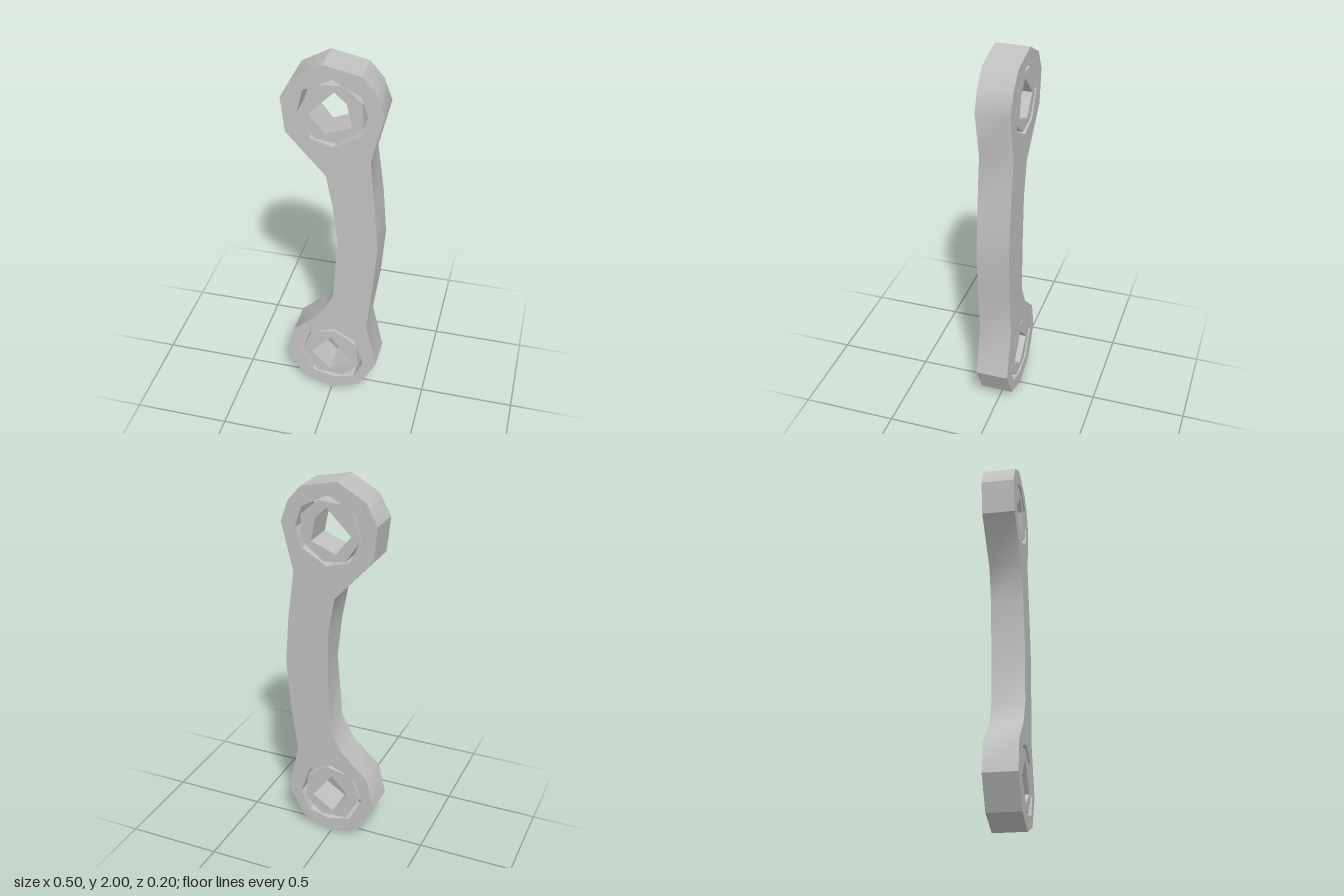
import * as THREE from 'three';
import { toCreasedNormals } from 'three/addons/utils/BufferGeometryUtils.js';

const vec = (pts) => pts.map(([x, y]) => new THREE.Vector2(x, y));

// Plate with holes (all points clockwise), leaning slightly back towards the top
function plate(outline, holes, depth, adjust = (x) => x) {
  const shape = new THREE.Shape(vec(outline));
  // Holes run the other way round, so that their walls face inwards
  for (const h of holes) shape.holes.push(new THREE.Path(vec(h).reverse()));
  const geo = new THREE.ExtrudeGeometry(shape, { depth, bevelEnabled: false });
  geo.translate(0, 0, -depth / 2);
  const p = geo.attributes.position;
  for (let i = 0; i < p.count; i++) {
    const x = p.getX(i), y = p.getY(i), z = p.getZ(i);
    p.setXYZ(i, adjust(x, y, z), y, z + 0.0125 - 0.0115 * y);
  }
  return toCreasedNormals(geo, 0.6);
}

export function createModel() {
  const group = new THREE.Group();
  const steel = new THREE.MeshStandardMaterial({ color: 0xc0c0c0 });
  steel.name = 'light steel grey';

  const add = (name, geo) => {
    const mesh = new THREE.Mesh(geo, steel);
    mesh.name = name;
    group.add(mesh);
  };

  // Curved arm with an eye at each end
  const outline = [
    [-0.045, 2], [0.14, 1.96], [0.21, 1.88], [0.25, 1.77], [0.19, 1.52], [0.225, 1.26],
    [0.245, 1.01], [0.225, 0.75], [0.19, 0.49], [0.25, 0.23], [0.16, 0.06], [0, 0],
    [-0.16, 0.055], [-0.25, 0.22], [-0.21, 0.39], [-0.065, 0.525], [0.005, 0.66],
    [0.03, 1.01], [0.005, 1.23], [-0.03, 1.41], [-0.23, 1.63], [-0.25, 1.81], [-0.19, 1.92],
  ];
  const topEye = [[0, 1.93], [0.14, 1.86], [0.175, 1.75], [0.14, 1.65],
    [0.01, 1.575], [-0.11, 1.61], [-0.17, 1.74], [-0.14, 1.86]];
  const bottomEye = [[0.01, 0.435], [0.125, 0.375], [0.175, 0.22], [0.125, 0.11],
    [0.01, 0.08], [-0.11, 0.11], [-0.18, 0.25], [-0.14, 0.375]];
  // The waist of the arm slants a little between its two faces
  const slant = (x, y, z) => {
    if (y < 0.7 || y > 1.3) return x;
    if (x > 0.1) return z > 0 ? x - 0.008 : x;
    return z < 0 && y < 1.1 ? x - 0.02 : x;
  };
  add('linkArm', plate(outline, [topEye, bottomEye], 0.172, slant));

  // Loose bushings inside the eyes
  add('topBushing', plate(
    [[-0.11, 1.89], [0.055, 1.9], [0.145, 1.82], [0.15, 1.69], [0.03, 1.595], [-0.085, 1.61], [-0.16, 1.72]],
    [[[0.01, 1.865], [0.07, 1.81], [0.095, 1.69], [-0.035, 1.64], [-0.115, 1.74]]], 0.162));
  add('bottomBushing', plate(
    [[-0.115, 0.385], [0.02, 0.41], [0.135, 0.335], [0.15, 0.19], [0.06, 0.1], [-0.085, 0.11], [-0.165, 0.25]],
    [[[-0.005, 0.36], [0.105, 0.21], [-0.01, 0.135], [-0.115, 0.24]]], 0.162));

  return group;
}
